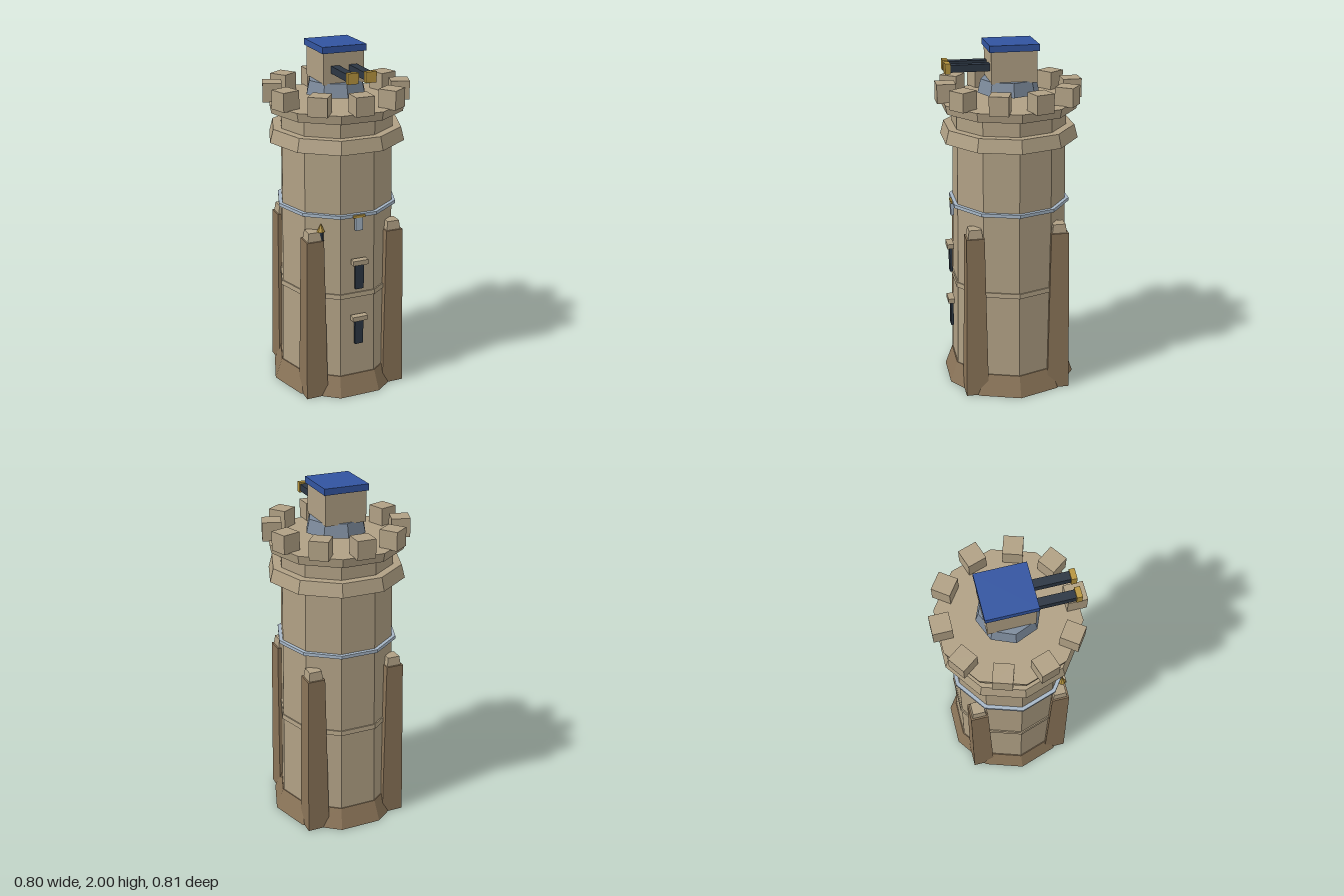
import * as THREE from 'three';

export function createModel() {
  const tower = new THREE.Group();
  tower.name = 'tower';
  const mat = (name, color) => {
    const m = new THREE.MeshStandardMaterial({ color, flatShading: true });
    m.name = name;
    return m;
  };
  const stone = mat('stone', 0xb0a084);
  const brown = mat('brownStone', 0x8a7458);
  const blue = mat('blueRoof', 0x3254a0);
  const dark = mat('darkMetal', 0x2c3643);
  const gold = mat('gold', 0xb8963f);
  const slate = mat('slate', 0x7d8b9c);
  const steel = mat('paleSteel', 0xa6b6c6);

  const add = (name, geo, material, x = 0, y = 0, z = 0, turn = 0) => {
    const mesh = new THREE.Mesh(geo, material);
    mesh.name = name;
    mesh.position.set(x, y, z);
    mesh.rotation.y = turn;
    tower.add(mesh);
    return mesh;
  };
  const box = (name, material, w, h, d, x, y, z, turn) =>
    add(name, new THREE.BoxGeometry(w, h, d), material, x, y, z, turn);
  // Polygonal tier with a corner on the x axis
  const tier = (name, material, y0, y1, r0, r1, sides = 10) =>
    add(name, new THREE.CylinderGeometry(r1, r0, y1 - y0, sides), material, 0, (y0 + y1) / 2, 0, Math.PI / 2);
  // Square block with a narrower top
  const taperedBlock = (name, material, w0, w1, y0, y1, x, z) => {
    const geo = new THREE.CylinderGeometry(w1 * Math.SQRT1_2, w0 * Math.SQRT1_2, y1 - y0, 4);
    geo.rotateY(Math.PI / 4);
    add(name, geo, material, x, (y0 + y1) / 2, z);
  };

  // Main tower body
  tier('plinth', brown, 0, 0.12, 0.39, 0.347);
  tier('lowerShaft', stone, 0.12, 0.62, 0.341, 0.331);
  tier('stoneBand', stone, 0.608, 0.635, 0.341, 0.338);
  tier('upperShaft', stone, 0.62, 1.48, 0.331, 0.32);
  tier('steelBand', steel, 1.093, 1.112, 0.346, 0.346);
  tier('lowerCornice', stone, 1.47, 1.545, 0.39, 0.37);
  tier('neck', stone, 1.54, 1.64, 0.322, 0.322);
  tier('parapetDeck', stone, 1.635, 1.685, 0.378, 0.388);

  // Ring of battlements, one centred at the front
  for (let i = 0; i < 10; i++) {
    const a = (i * Math.PI) / 5;
    box('merlon', stone, 0.105, 0.105, 0.105, Math.sin(a) * 0.352, 1.733, Math.cos(a) * 0.352, a);
  }

  // Corner buttresses with caps
  for (const sx of [-1, 1]) {
    for (const sz of [-1, 1]) {
      taperedBlock('buttress', brown, 0.13, 0.1, 0, 0.965, sx * 0.239, sz * 0.239);
      taperedBlock('buttressCap', stone, 0.083, 0.07, 0.965, 1.015, sx * 0.238, sz * 0.238);
    }
  }

  // Slit windows with lintels
  for (const y of [0.325, 0.67]) {
    box('slitWindow', dark, 0.05, 0.15, 0.016, 0, y + 0.075, 0.342);
    box('lintel', stone, 0.09, 0.028, 0.038, 0, y + 0.164, 0.346);
  }

  // Hanging plate on the steel band
  box('hangingPlate', steel, 0.042, 0.08, 0.018, 0, 1.058, 0.329);
  box('plateBracket', gold, 0.07, 0.014, 0.024, 0, 1.1, 0.327);

  // Pole with a pointed finial beside the front buttress
  add('pole', new THREE.CylinderGeometry(0.014, 0.014, 0.52, 6), dark, -0.197, 0.76, 0.267);
  add('poleFinial', new THREE.ConeGeometry(0.023, 0.05, 6), gold, -0.199, 1.04, 0.267);

  // Turret on the deck
  tier('turretCollar', slate, 1.722, 1.798, 0.173, 0.156, 8);
  box('turretHead', stone, 0.236, 0.175, 0.254, 0, 1.878, -0.011);
  box('turretRoof', blue, 0.256, 0.036, 0.274, 0, 1.982, -0.011);
  for (const s of [-1, 1]) {
    box('barrel', dark, 0.047, 0.04, 0.23, s * 0.052, 1.874, 0.225);
    box('muzzle', gold, 0.06, 0.058, 0.03, s * 0.051, 1.875, 0.346);
  }
  return tower;
}
